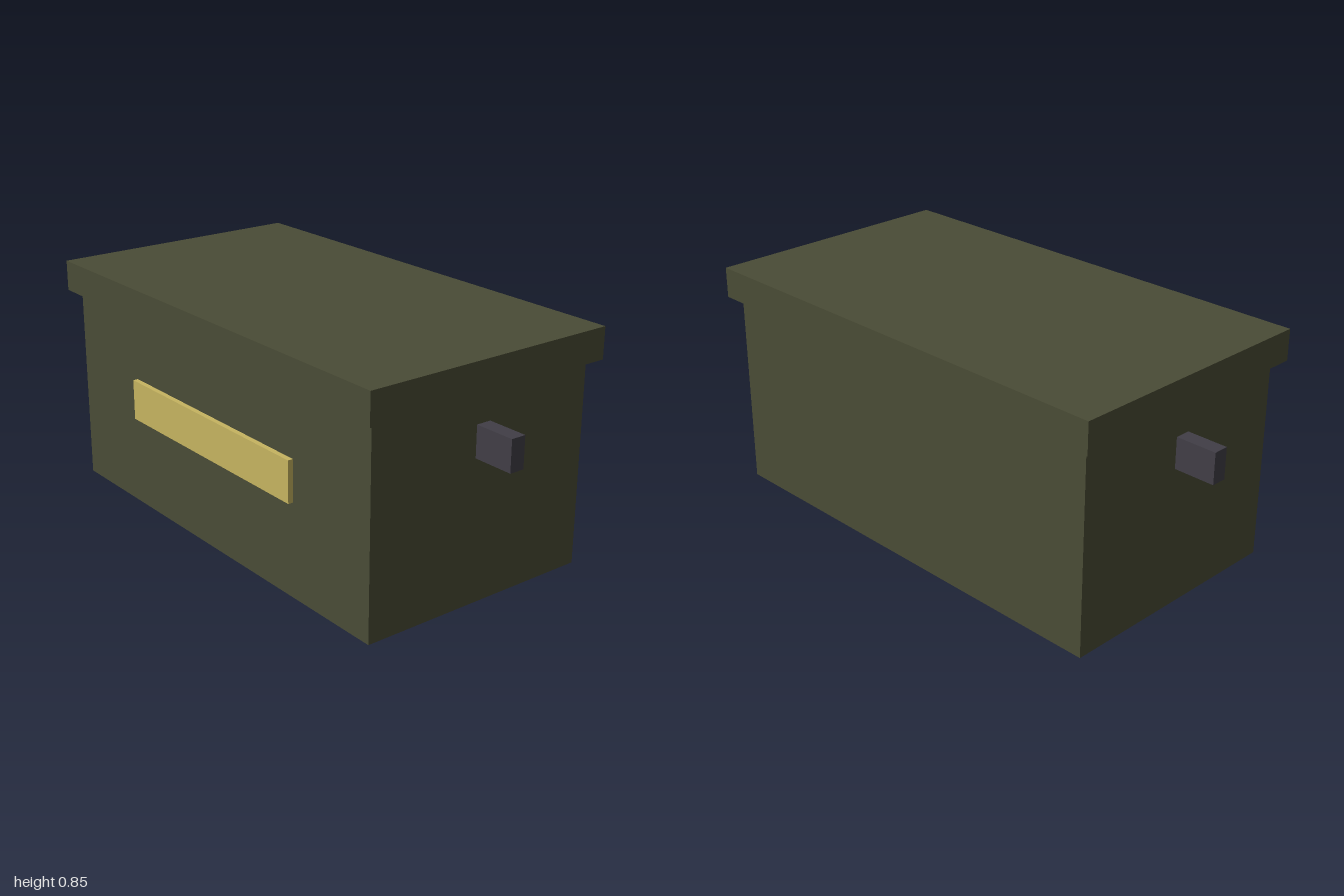
import * as THREE from 'three';

const olive = new THREE.MeshStandardMaterial({ name: 'olive green', color: 0x4a4c36 });
const brass = new THREE.MeshStandardMaterial({ name: 'pale yellow', color: 0xc6b460 });
const iron = new THREE.MeshStandardMaterial({ name: 'dark grey', color: 0x413e46 });

// Box given by its size and the centre of its underside
function box(name, material, [w, h, d], [x, y, z]) {
  const mesh = new THREE.Mesh(new THREE.BoxGeometry(w, h, d), material);
  mesh.name = name;
  mesh.position.set(x, y + h / 2, z);
  return mesh;
}

export function createModel() {
  const crate = new THREE.Group();
  crate.name = 'crate';

  // Body and overhanging lid
  crate.add(box('body', olive, [1.698, 0.737, 0.904], [0, 0, 0]));
  crate.add(box('lid', olive, [1.774, 0.113, 0.98], [0, 0.737, 0]));

  // Raised label plate on the front, set slightly into the body
  crate.add(box('labelPlate', brass, [0.936, 0.15, 0.038], [0, 0.341, 0.452]));

  // Handle block on each end
  for (const [side, name] of [[1, 'leftHandle'], [-1, 'rightHandle']]) {
    crate.add(box(name, iron, [0.17, 0.113, 0.056], [side * 0.915, 0.511, 0]));
  }
  return crate;
}
